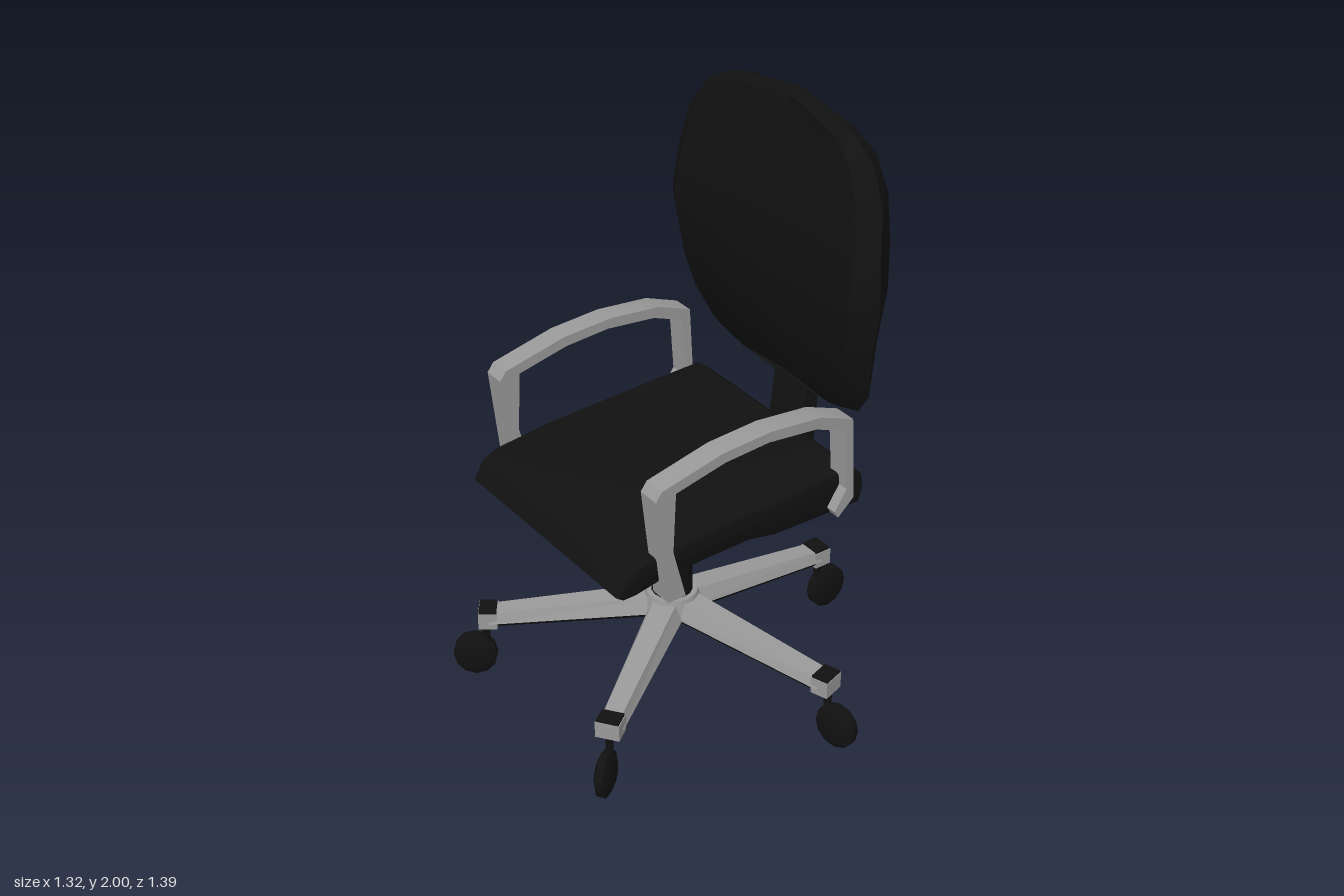
import * as THREE from 'three';
import { toCreasedNormals } from 'three/addons/utils/BufferGeometryUtils.js';

const black = new THREE.MeshStandardMaterial({ color: 0x111111 });
const metal = new THREE.MeshStandardMaterial({ color: 0x999999 });

function part(parent, name, geometry, material, x = 0, y = 0, z = 0) {
  const mesh = new THREE.Mesh(geometry, material);
  mesh.name = name;
  mesh.position.set(x, y, z);
  parent.add(mesh);
  return mesh;
}

// Side profile in x, y extruded from z0 to z1, with an optional softened edge
function slab(points, z0, z1, bevel = 0) {
  const shape = new THREE.Shape(points.map(p => new THREE.Vector2(...p)));
  const g = new THREE.ExtrudeGeometry(shape, {
    depth: z1 - z0 - 2 * bevel, bevelEnabled: bevel > 0, bevelSize: bevel,
    bevelThickness: bevel, bevelOffset: -bevel, bevelSegments: 2,
  });
  g.translate(0, 0, z0 + bevel);
  return toCreasedNormals(g, 0.6);
}

// Box along x whose ends differ: [x, bottom, top, bottom width, top width]
function taper(a, b) {
  const g = new THREE.BoxGeometry(1, 1, 1);
  const p = g.attributes.position;
  for (let i = 0; i < p.count; i++) {
    const [x, lo, hi, wLo, wHi] = p.getX(i) < 0 ? a : b;
    const up = p.getY(i) > 0;
    p.setXYZ(i, x, up ? hi : lo, p.getZ(i) * (up ? wHi : wLo));
  }
  const flat = g.toNonIndexed();
  flat.computeVertexNormals();
  return flat;
}

// Backrest lofted through horizontal sections, wrapping forward at the sides
function backrestGeometry() {
  // y, half width, tip x, front x, back x
  const rows = [
    [1.00, 0.10, 0.375, 0.365, 0.40], [1.01, 0.26, 0.37, 0.36, 0.40],
    [1.06, 0.38, 0.35, 0.335, 0.40], [1.15, 0.45, 0.33, 0.305, 0.40],
    [1.30, 0.485, 0.305, 0.26, 0.40], [1.50, 0.525, 0.295, 0.24, 0.405],
    [1.65, 0.505, 0.305, 0.255, 0.42], [1.80, 0.475, 0.33, 0.285, 0.425],
    [1.90, 0.405, 0.35, 0.305, 0.425], [1.96, 0.295, 0.365, 0.32, 0.41],
    [2.00, 0.02, 0.37, 0.335, 0.40],
  ];
  const pos = [], idx = [], n = 8;
  for (const [y, w, tip, front, back] of rows) {
    const ring = [[tip, 1], [front, 0.85], [front + 0.02, 0], [front, -0.85],
      [tip, -1], [back - 0.008, -0.83], [back, 0], [back - 0.008, 0.83]];
    for (const [x, f] of ring) pos.push(x, y, -0.01 + f * w);
  }
  for (let r = 0; r < rows.length - 1; r++) {
    for (let i = 0; i < n; i++) {
      const a = r * n + i, b = r * n + (i + 1) % n;
      idx.push(a, a + n, b, b, a + n, b + n);
    }
  }
  const top = (rows.length - 1) * n;
  for (let i = 1; i < n - 1; i++) {
    idx.push(0, i, i + 1, top, top + i + 1, top + i);
  }
  const g = new THREE.BufferGeometry();
  g.setAttribute('position', new THREE.Float32BufferAttribute(pos, 3));
  g.setIndex(idx);
  return toCreasedNormals(g, 0.6);
}

// One spoke of the base with its caster, pointing along local x
function spoke() {
  const g = new THREE.Group();
  g.name = 'baseSpoke';
  part(g, 'spokeArm', taper([0, 0.29, 0.345, 0.13, 0.08], [0.6, 0.225, 0.262, 0.085, 0.06]), metal);
  part(g, 'spokeUnderside', taper([0, 0.275, 0.291, 0.11, 0.128], [0.58, 0.215, 0.228, 0.07, 0.083]), black);
  part(g, 'spokeEnd', new THREE.BoxGeometry(0.062, 0.058, 0.08), metal, 0.605, 0.234, 0);
  part(g, 'spokeCap', new THREE.BoxGeometry(0.058, 0.008, 0.074), black, 0.605, 0.266, 0);
  part(g, 'casterStem', new THREE.CylinderGeometry(0.013, 0.013, 0.1, 8), black, 0.615, 0.17, 0);
  const profile = [[0, -0.023], [0.05, -0.023], [0.073, -0.012], [0.073, 0.012], [0.05, 0.023], [0, 0.023]];
  const wheel = toCreasedNormals(
    new THREE.LatheGeometry(profile.map(p => new THREE.Vector2(...p)), 12), 0.6);
  wheel.rotateX(Math.PI / 2);
  wheel.scale(1, 1.1, 1);
  part(g, 'casterWheel', wheel, black, 0.653, 0.083, 0);
  return g;
}

export function createModel() {
  const chair = new THREE.Group();
  chair.name = 'officeChair';

  // Seat cushion with a rolled front edge
  part(chair, 'seat', slab([
    [-0.585, 0.76], [-0.565, 0.745], [-0.52, 0.745], [-0.4, 0.768], [-0.1, 0.775],
    [0, 0.755], [0.335, 0.748], [0.352, 0.8], [0.345, 0.85], [0.3, 0.89],
    [0, 0.88], [-0.3, 0.868], [-0.5, 0.845], [-0.55, 0.82],
  ], -0.405, 0.41, 0.012), black);

  // Backrest and its L-shaped support
  part(chair, 'backrest', backrestGeometry(), black);
  part(chair, 'backSupport', slab([
    [-0.01, 0.75], [0.34, 0.738], [0.39, 0.75], [0.412, 0.775], [0.435, 1.12],
    [0.4, 1.12], [0.38, 1.0], [0.355, 0.8], [0.33, 0.78], [-0.01, 0.78],
  ], -0.085, 0.08), black);

  // Armrests: bent flat bars on both sides
  const armProfile = [
    [-0.43, 0.705], [-0.365, 0.705], [-0.41, 0.88], [-0.4, 1.085], [-0.22, 1.125],
    [-0.06, 1.135], [0.12, 1.115], [0.235, 1.07], [0.25, 0.85], [0.205, 0.78],
    [0.22, 0.755], [0.28, 0.81], [0.265, 1.1], [0.14, 1.15], [-0.05, 1.17],
    [-0.23, 1.16], [-0.45, 1.11], [-0.472, 1.08],
  ];
  for (const [name, z0, z1] of [['armrestNear', 0.37, 0.447], ['armrestFar', -0.474, -0.4]]) {
    part(chair, name, slab(armProfile, z0, z1), metal);
  }

  // Gas column
  const cx = -0.085, cz = -0.018;
  part(chair, 'column', new THREE.CylinderGeometry(0.06, 0.06, 0.29, 16), black, cx, 0.635, cz);
  part(chair, 'columnSleeve', new THREE.CylinderGeometry(0.068, 0.068, 0.2, 16), black, cx, 0.415, cz);

  // Height lever
  const lever = new THREE.CurvePath();
  const bends = [[-0.015, 0.765, -0.06], [-0.015, 0.62, -0.29], [-0.012, 0.612, -0.315]]
    .map(p => new THREE.Vector3(...p));
  for (let i = 0; i < 2; i++) lever.add(new THREE.LineCurve3(bends[i], bends[i + 1]));
  part(chair, 'lever', new THREE.TubeGeometry(lever, 12, 0.011, 8), black);
  const grip = part(chair, 'leverGrip', new THREE.CylinderGeometry(0.017, 0.017, 0.075, 8), black, -0.012, 0.612, -0.325);
  grip.rotation.x = Math.PI / 2;

  // Five-spoke base
  const base = new THREE.Group();
  base.name = 'base';
  base.position.set(cx, 0, cz);
  part(base, 'hub', new THREE.CylinderGeometry(0.085, 0.1, 0.06, 20), metal, 0, 0.318, 0);
  part(base, 'hubUnderside', new THREE.CylinderGeometry(0.095, 0.08, 0.02, 20), black, 0, 0.278, 0);
  for (let i = 0; i < 5; i++) {
    const s = spoke();
    s.rotation.y = i * Math.PI * 2 / 5;
    base.add(s);
  }
  chair.add(base);
  return chair;
}
